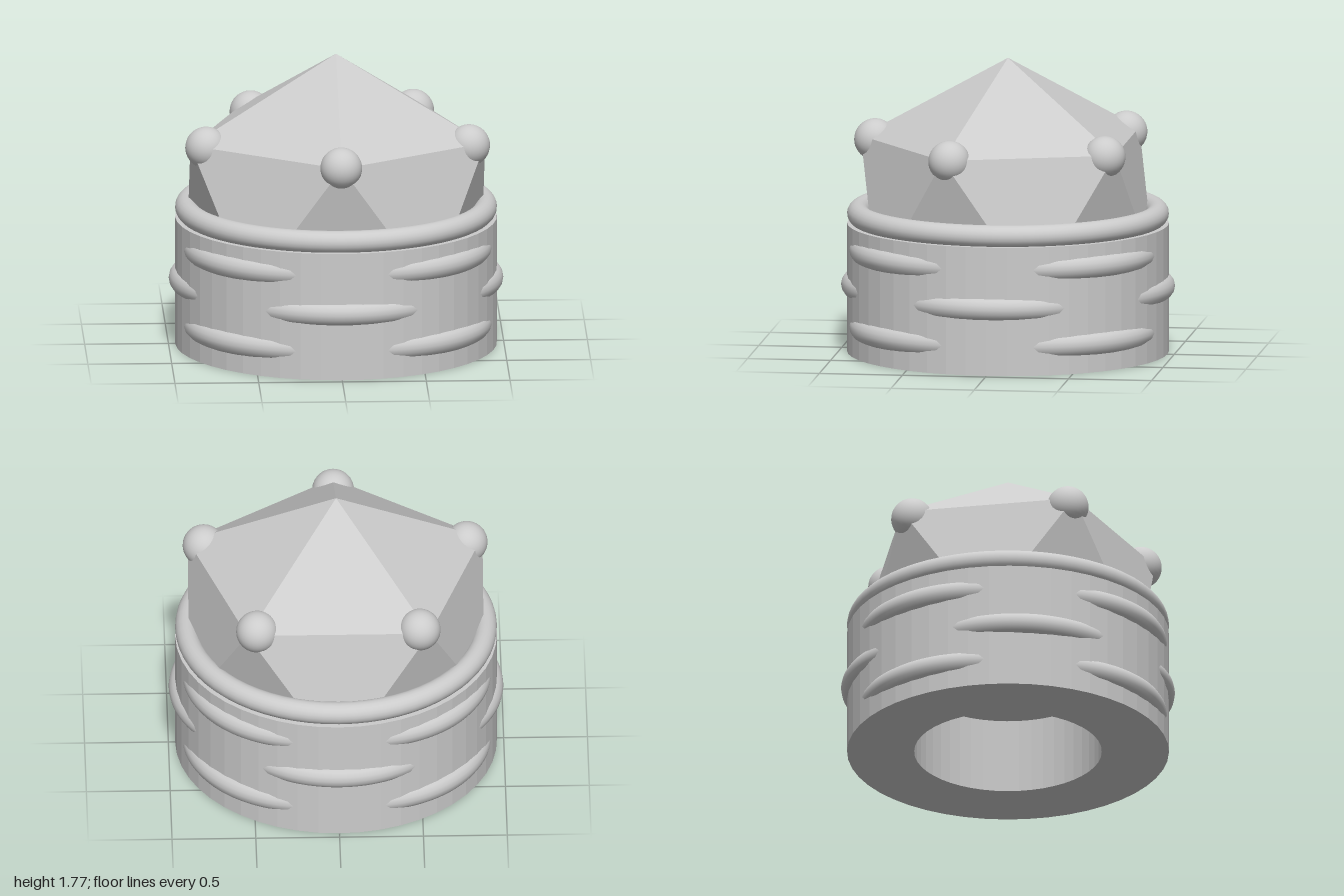
import * as THREE from 'three';
import { ConvexGeometry } from 'three/addons/geometries/ConvexGeometry.js';

const smooth = new THREE.MeshStandardMaterial({ color: 0xcccccc });
const flat = new THREE.MeshStandardMaterial({ color: 0xcccccc, flatShading: true });

function addPart(parent, name, geometry, material) {
  const mesh = new THREE.Mesh(geometry, material);
  mesh.name = name;
  parent.add(mesh);
  return mesh;
}

// Five points around the axis, the first at the given angle from the front
function pentagon(y, startAngle, rx, rz) {
  return Array.from({ length: 5 }, (_, i) => {
    const a = startAngle + (i * Math.PI * 2) / 5;
    return new THREE.Vector3(Math.sin(a) * rx, y, Math.cos(a) * rz);
  });
}

export function createModel() {
  const model = new THREE.Group();
  model.name = 'gemCap';

  // Solid base with a blind round socket underneath
  const profile = [
    [0, 0.46], [0.56, 0.46], [0.56, 0], [0.96, 0], [0.96, 0.775], [0, 0.775],
  ].map(([r, y]) => new THREE.Vector2(r, y));
  addPart(model, 'base', new THREE.LatheGeometry(profile, 48), flat);

  // Rounded collar on the upper edge
  const collar = new THREE.TorusGeometry(0.893, 0.067, 20, 64).rotateX(Math.PI / 2);
  addPart(model, 'collar', collar, smooth).position.y = 0.833;

  // Grip ridges: arcs curved tighter than the wall, so their ends sink into it
  const arc = (100 * Math.PI) / 180;
  const ridge = new THREE.TorusGeometry(0.675, 0.073, 16, 32, arc)
    .rotateZ(Math.PI / 2 - arc / 2)
    .rotateX(Math.PI / 2)
    .translate(0, 0, 0.25);
  const ridges = new THREE.Group();
  ridges.name = 'gripRidges';
  model.add(ridges);
  [[0.635, Math.PI / 4], [0.4, 0], [0.17, Math.PI / 4]].forEach(([y, offset]) => {
    for (let i = 0; i < 4; i++) {
      const mesh = addPart(ridges, 'gripRidge', ridge, smooth);
      mesh.position.y = y;
      mesh.rotation.y = offset + (i * Math.PI) / 2;
    }
  });

  // Faceted gem: apex, upper pentagon and a turned lower pentagon inside the base
  const gem = new ConvexGeometry([
    new THREE.Vector3(0, 1.77, 0),
    ...pentagon(1.28, 0, 0.925, 0.886),
    ...pentagon(0.49, Math.PI / 5, 0.925, 0.886),
  ]);
  addPart(model, 'gem', gem, flat);

  // Round studs on the gem's upper corners
  const stud = new THREE.SphereGeometry(0.125, 32, 20);
  pentagon(1.262, 0, 0.825, 0.8).forEach((p) => {
    addPart(model, 'stud', stud, smooth).position.copy(p);
  });

  return model;
}
